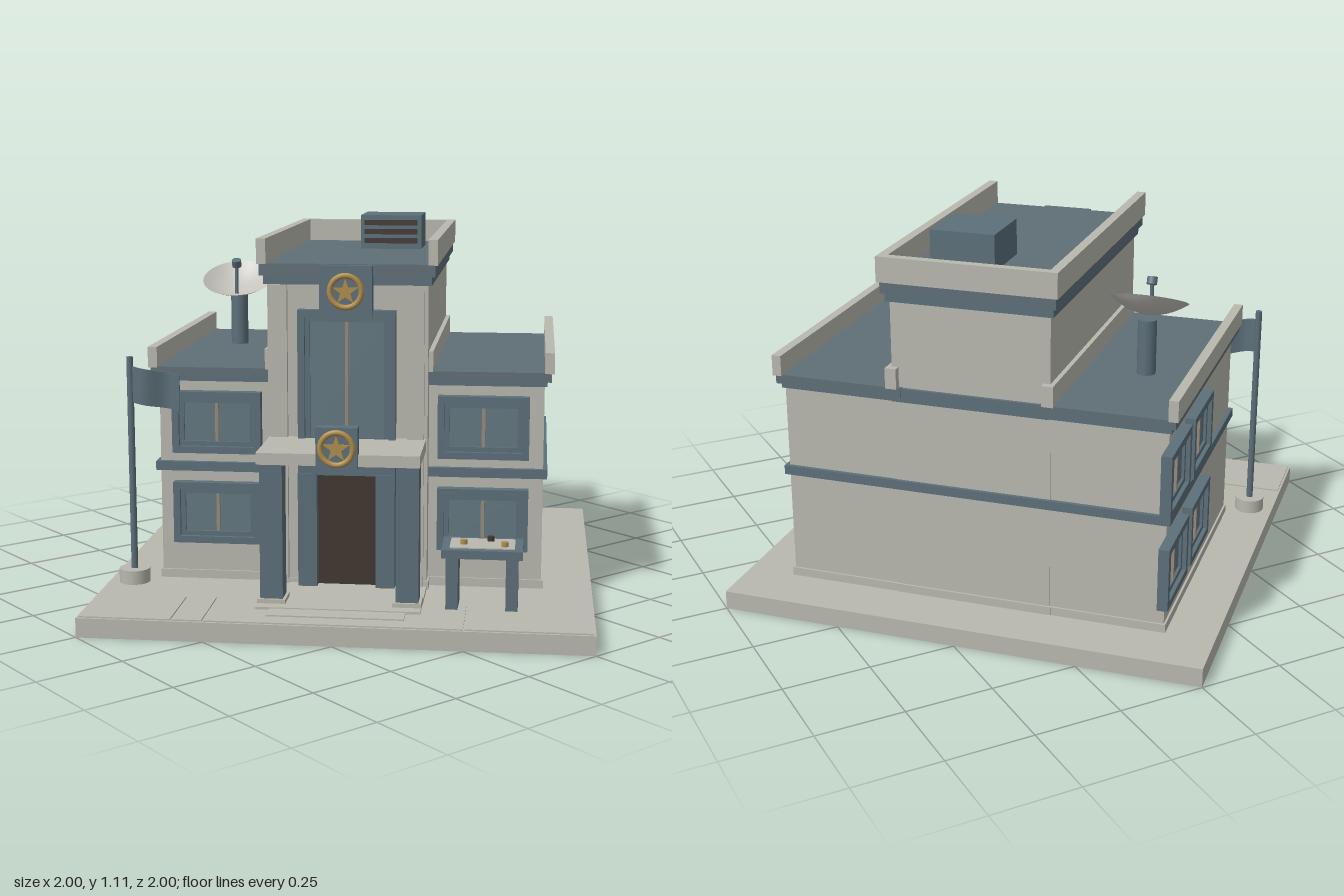
import * as THREE from 'three';

const material = (name, color, side = THREE.FrontSide) => {
  const m = new THREE.MeshStandardMaterial({ color, side });
  m.name = name;
  return m;
};

export function createModel() {
  const wall = material('pale stone', 0xb8b8ae);
  const trim = material('slate blue', 0x5c6f79);
  const roof = material('roof slate', 0x5f6e76);
  const glass = material('window glass', 0x627780);
  const tan = material('tan mullion', 0x968b7c);
  const brown = material('dark brown', 0x40362f);
  const gold = material('gold', 0xb08c4a);
  const white = material('dish white', 0xc4c2bb, THREE.DoubleSide);
  const flagBlue = material('flag blue', 0x5c6f79, THREE.DoubleSide);

  const model = new THREE.Group();
  const site = new THREE.Group(); // the whole plot is turned by 45 degrees
  site.name = 'plot';
  site.rotation.y = Math.PI / 4;
  model.add(site);

  const add = (parent, name, geometry, mat, x = 0, y = 0, z = 0) => {
    const mesh = new THREE.Mesh(geometry, mat);
    mesh.name = name;
    mesh.position.set(x, y, z);
    parent.add(mesh);
    return mesh;
  };
  // Box from its limits on each axis
  const box = (name, mat, x0, x1, y0, y1, z0, z1, parent = site) =>
    add(parent, name, new THREE.BoxGeometry(Math.abs(x1 - x0), y1 - y0, z1 - z0), mat,
      (x0 + x1) / 2, (y0 + y1) / 2, (z0 + z1) / 2);
  const group = (name, x, y, z, ry = 0) => {
    const g = new THREE.Group();
    g.name = name;
    g.position.set(x, y, z);
    g.rotation.y = ry;
    site.add(g);
    return g;
  };
  // Flat frame with a rectangular opening
  const frameGeometry = (w, h, t, depth) => {
    const rect = (P, a, b) => {
      const p = new P();
      p.moveTo(-a, -b); p.lineTo(a, -b); p.lineTo(a, b); p.lineTo(-a, b); p.closePath();
      return p;
    };
    const s = rect(THREE.Shape, w / 2, h / 2);
    s.holes.push(rect(THREE.Path, w / 2 - t, h / 2 - t));
    return new THREE.ExtrudeGeometry(s, { depth, bevelEnabled: false });
  };
  const makeWindow = (name, w, h, x, y, z, ry = 0) => {
    const g = group(name, x, y, z, ry);
    add(g, 'windowFrame', frameGeometry(w, h, 0.02, 0.03), trim);
    add(g, 'innerFrame', frameGeometry(w - 0.04, h - 0.04, 0.014, 0.018), trim);
    box('pane', glass, -w / 2 + 0.01, w / 2 - 0.01, -h / 2 + 0.01, h / 2 - 0.01, 0, 0.01, g);
    box('mullion', tan, -0.005, 0.005, -h / 2 + 0.034, h / 2 - 0.034, 0.01, 0.018, g);
  };

  // Ground slab and paving
  box('groundSlab', wall, -0.707, 0.707, 0, 0.055, -0.707, 0.707);
  for (const [a, b] of [[-0.7, -0.445], [-0.44, -0.358], [-0.353, 0.353], [0.358, 0.7]])
    box('paving', wall, a, b, 0.054, 0.059, 0.49, 0.7);
  box('porchFloor', wall, -0.23, 0.23, 0.054, 0.066, 0.32, 0.585);
  box('frontStep', wall, -0.19, 0.19, 0.054, 0.063, 0.58, 0.645);

  // Side wings
  for (const s of [-1, 1]) {
    box('wingWall', wall, s * 0.2, s * 0.56, 0.05, 0.66, -0.543, 0.28);
    box('wingPlinth', wall, s * 0.2, s * 0.566, 0.05, 0.08, -0.549, 0.286);
    box('middleBand', trim, s * 0.2, s * 0.572, 0.383, 0.41, -0.555, 0.295);
    box('cornice', trim, s * 0.2, s * 0.568, 0.65, 0.667, -0.551, 0.29);
    box('wingRoof', roof, s * 0.2, s * 0.58, 0.665, 0.692, -0.56, 0.302);
    box('outerParapet', wall, s * 0.56, s * 0.587, 0.69, 0.75, -0.566, 0.306);
    box('innerParapet', wall, s * 0.21, s * 0.243, 0.69, 0.75, -0.566, 0.306);
    for (const y of [0.26, 0.53]) makeWindow('frontWindow', 0.262, 0.182, s * 0.388, y, 0.28);
  }
  for (const y of [0.26, 0.53])
    for (const z of [-0.515, -0.235])
      makeWindow('sideWindow', 0.24, 0.182, -0.56, y, z, -Math.PI / 2);

  // Central tower
  box('towerWall', wall, -0.23, 0.23, 0.05, 0.95, -0.545, 0.33);
  box('towerPlinth', wall, -0.235, 0.235, 0.05, 0.08, -0.551, 0.336);
  for (const [a, b] of [[0.383, 0.41], [0.65, 0.69]])
    box('backBand', trim, -0.23, 0.23, a, b, -0.555, -0.54);
  box('towerCornice', trim, -0.24, 0.24, 0.94, 0.967, -0.555, 0.34);
  box('towerRoof', roof, -0.25, 0.25, 0.965, 1.0, -0.565, 0.35);
  for (const s of [-1, 1]) {
    box('towerParapet', wall, s * 0.23, s * 0.257, 0.998, 1.07, -0.573, 0.354);
    box('frontPilaster', wall, s * 0.172, s * 0.22, 0.06, 0.94, 0.32, 0.345);
  }
  box('backParapet', wall, -0.257, 0.257, 0.998, 1.07, -0.573, -0.546);
  makeWindow('tallWindow', 0.28, 0.4, 0, 0.67, 0.33);

  // Roof vent with grille
  box('ventBox', trim, -0.02, 0.17, 0.995, 1.105, -0.39, -0.2);
  for (let i = 0; i < 3; i++)
    box('ventSlot', brown, -0.008, 0.158, 1.018 + i * 0.028, 1.034 + i * 0.028, -0.202, -0.193);

  // Round star badges on backing panels
  const star = new THREE.Shape();
  for (let i = 0; i < 10; i++) {
    const r = i % 2 ? 0.015 : 0.038, a = Math.PI / 2 + i * Math.PI / 5;
    star[i ? 'lineTo' : 'moveTo'](r * Math.cos(a), r * Math.sin(a));
  }
  const badge = (y, z, w, h) => {
    const g = group('badge', 0, y, z);
    box('badgePanel', trim, -w / 2, w / 2, -h / 2, h / 2, -0.04, 0, g);
    add(g, 'badgeRing', new THREE.TorusGeometry(0.045, 0.008, 8, 28), gold, 0, 0, 0.003);
    add(g, 'badgeStar', new THREE.ExtrudeGeometry(star, { depth: 0.008, bevelEnabled: false }), gold);
  };
  badge(0.925, 0.375, 0.15, 0.145);
  badge(0.52, 0.59, 0.115, 0.115);

  // Entrance porch
  box('door', brown, -0.11, 0.11, 0.06, 0.4, 0.33, 0.338);
  box('doorLintel', trim, -0.14, 0.14, 0.395, 0.43, 0.33, 0.365);
  box('canopy', wall, -0.226, 0.226, 0.467, 0.5, 0.32, 0.572);
  for (const s of [-1, 1]) {
    box('doorPost', trim, s * 0.085, s * 0.14, 0.06, 0.4, 0.33, 0.37);
    box('porchColumn', trim, s * 0.158, s * 0.222, 0.07, 0.468, 0.478, 0.542);
    box('columnFoot', wall, s * 0.15, s * 0.23, 0.055, 0.078, 0.47, 0.55);
  }

  // Outdoor table
  const table = group('table', 0.396, 0, 0.474);
  box('tableTop', trim, -0.112, 0.112, 0.21, 0.234, -0.074, 0.074, table);
  box('tablePanel', wall, -0.09, 0.09, 0.23, 0.237, -0.052, 0.052, table);
  for (const s of [-1, 1])
    box('tableLeg', trim, s * 0.066, s * 0.1, 0.055, 0.212, -0.055, 0.055, table);
  [[0.022, -0.028, brown], [0.062, 0.028, gold], [-0.052, 0.012, gold]].forEach(([x, z, m]) =>
    add(table, 'tableKnob', new THREE.CylinderGeometry(0.01, 0.01, 0.014, 12), m, x, 0.243, z));

  // Flagpole with a drooping flag
  const pole = group('flagpole', -0.633, 0, 0.336);
  add(pole, 'poleFoot', new THREE.CylinderGeometry(0.045, 0.045, 0.042, 24), wall, 0, 0.075, 0);
  add(pole, 'pole', new THREE.CylinderGeometry(0.01, 0.01, 0.64, 12), trim, 0, 0.405, 0);
  const cloth = new THREE.BoxGeometry(0.14, 0.105, 0.008, 10, 1, 1);
  const p = cloth.attributes.position;
  for (let i = 0; i < p.count; i++) {
    const t = p.getX(i) / 0.14 + 0.5;
    p.setY(i, p.getY(i) - 0.025 * t);
    p.setZ(i, p.getZ(i) + 0.012 * Math.sin(t * Math.PI * 2));
  }
  cloth.computeVertexNormals();
  add(pole, 'flag', cloth, flagBlue, 0.075, 0.645, 0);

  // Satellite dish tilted towards the front
  const dish = group('satelliteDish', -0.414, 0.69, -0.223);
  add(dish, 'dishStand', new THREE.CylinderGeometry(0.027, 0.027, 0.165, 20), trim, 0, 0.08, 0);
  const head = new THREE.Group();
  head.name = 'dishHead';
  head.position.set(0, 0.175, 0);
  head.rotation.x = 0.42;
  dish.add(head);
  const profile = [];
  for (let i = 0; i <= 8; i++) profile.push(new THREE.Vector2(0.112 * i / 8, 0.042 * (i / 8) ** 2));
  add(head, 'dishBowl', new THREE.LatheGeometry(profile, 32), white);
  const arm = new THREE.LineCurve3(new THREE.Vector3(0, 0.01, 0.045), new THREE.Vector3(0, 0.095, 0.005));
  add(head, 'feedArm', new THREE.TubeGeometry(arm, 1, 0.006, 8), trim);
  add(head, 'feedHead', new THREE.CylinderGeometry(0.015, 0.015, 0.022, 12), trim, 0, 0.097, 0.003);

  return model;
}
